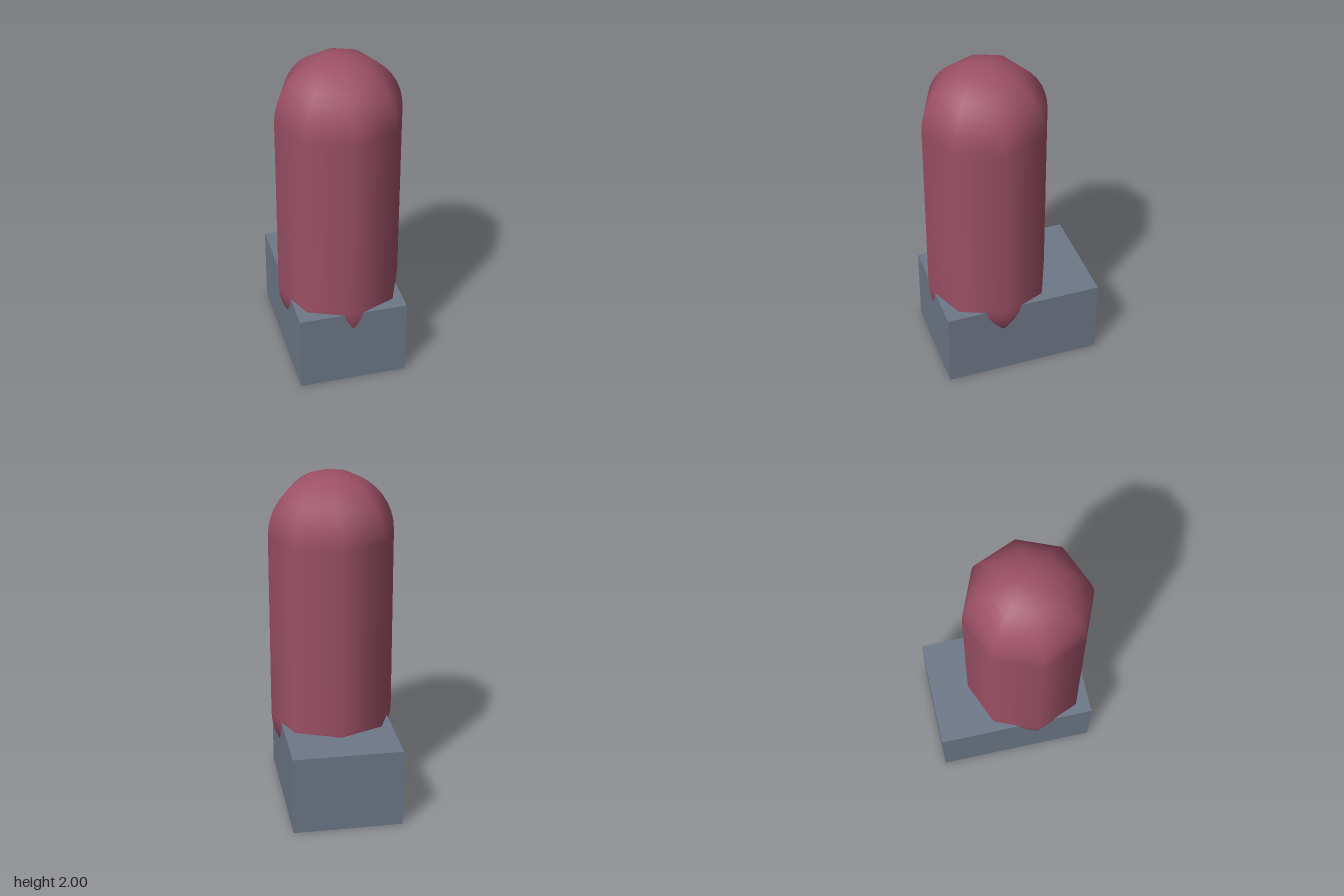
import * as THREE from 'three';

export function createModel() {
  const model = new THREE.Group();

  const add = (name, geometry, color, x, y, z) => {
    const mesh = new THREE.Mesh(geometry, new THREE.MeshStandardMaterial({ color }));
    mesh.name = name;
    mesh.position.set(x, y, z);
    model.add(mesh);
  };

  // Eight-sided, smooth-shaded capsule sunk into the base
  const radius = 0.372, top = 2, bottom = 0.13;
  const body = new THREE.CapsuleGeometry(radius, top - bottom - 2 * radius, 10, 8);
  add('body', body, 0x9c5066, 0, (top + bottom) / 2, 0.115);

  // Rectangular block, reaching further out at the back
  const back = -0.488, front = 0.463, height = 0.48;
  const block = new THREE.BoxGeometry(0.65, height, front - back);
  add('base', block, 0x6e7888, 0, height / 2, (front + back) / 2);

  return model;
}
